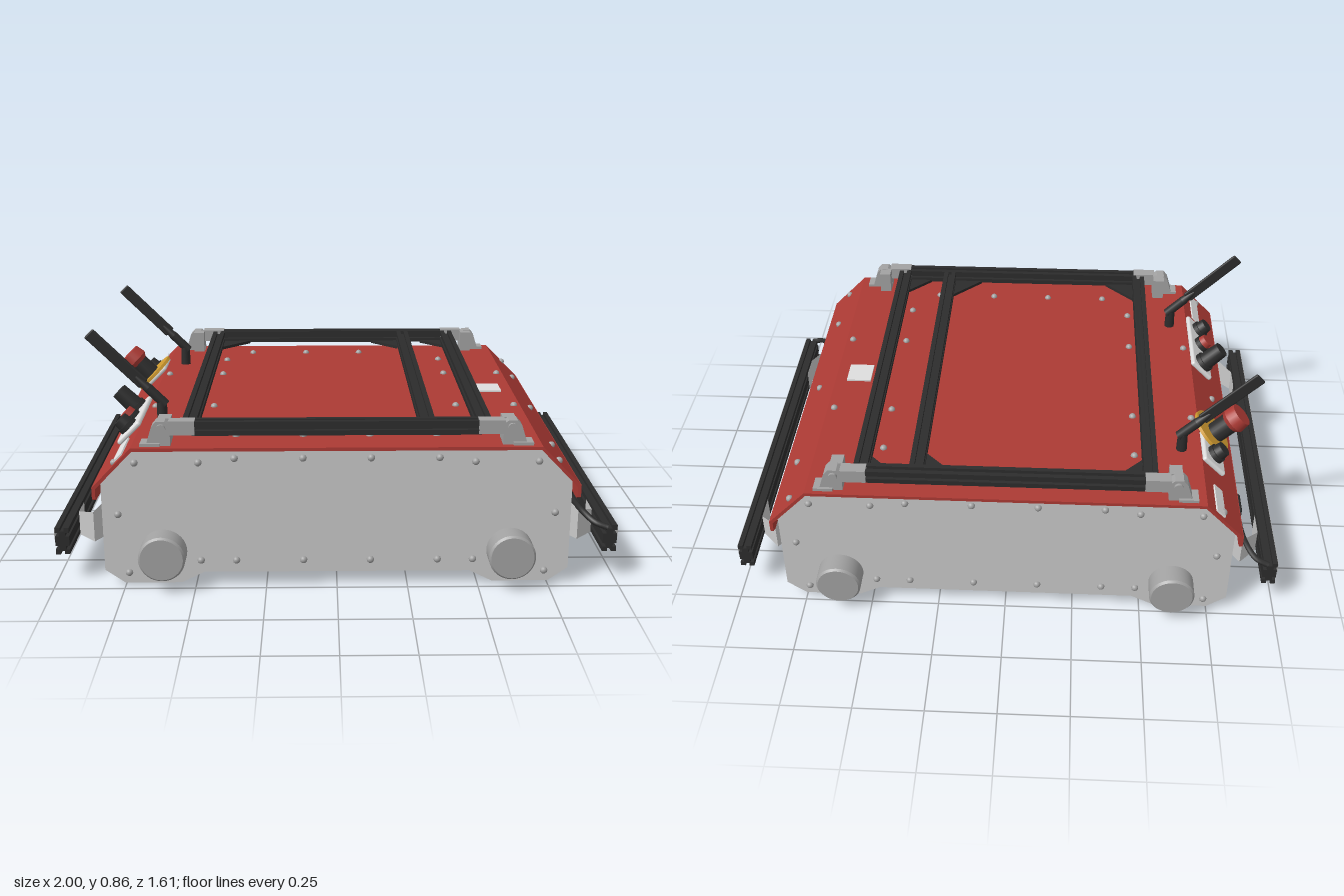
import * as THREE from 'three';
import { RoundedBoxGeometry } from 'three/addons/geometries/RoundedBoxGeometry.js';

const mat = (name, color, side = THREE.FrontSide) => {
  const m = new THREE.MeshStandardMaterial({ color, side });
  m.name = name;
  return m;
};

export function createModel() {
  const M = {
    red: mat('hood red', 0xac3a34),
    body: mat('light metal', 0xc9c9c9, THREE.DoubleSide),
    grey: mat('fitting grey', 0xa2a2a2),
    black: mat('rail black', 0x2c2c2c),
    yellow: mat('warning yellow', 0xcf9a30),
    white: mat('panel white', 0xdedede),
  };
  const model = new THREE.Group();
  model.name = 'mobileRobotBase';

  const add = (name, geo, m, p = [0, 0, 0], parent = model) => {
    const mesh = new THREE.Mesh(geo, m);
    mesh.name = name;
    mesh.position.set(...p);
    parent.add(mesh);
    return mesh;
  };
  const box = (name, s, p, m, parent) => add(name, new THREE.BoxGeometry(...s), m, p, parent);
  const cyl = (name, r0, r1, h, p, m, parent, n = 24) =>
    add(name, new THREE.CylinderGeometry(r1, r0, h, n), m, p, parent);
  const shape = pts => new THREE.Shape(pts.map(p => new THREE.Vector2(...p)));
  // extrusion centred on its depth
  const prism = (pts, depth) => new THREE.ExtrudeGeometry(shape(pts), { depth, bevelEnabled: false, curveSegments: 6 })
    .translate(0, 0, -depth / 2);
  const mirrored = pts => [...pts, ...pts.map(([x, y]) => [-x, y]).reverse()];

  // Body: side profile across the full depth
  add('body', prism(mirrored([
    [0.47, 0.05], [0.55, 0.01], [0.75, 0.01], [0.82, 0.06], [0.82, 0.39], [0.705, 0.506],
  ]), 1.45), M.body);

  // Hood: bent sheet over the top with pointed skirts
  add('hood', prism([
    ...[[0.85, 0.372], [0.71, 0.515], [-0.71, 0.515], [-0.85, 0.372]],
    ...[[-0.838, 0.366], [-0.706, 0.503], [0.706, 0.503], [0.838, 0.366]],
  ], 1.47), M.red);
  const skirt = [[-0.735, 0.374], [-0.735, 0.33], [-0.715, 0.32], [-0.34, 0.312], [0, 0.28],
    [0.34, 0.312], [0.715, 0.32], [0.735, 0.33], [0.735, 0.374]];
  for (const s of [-1, 1]) {
    const k = add('hoodSkirt', prism(skirt, 0.012), M.red, [s * 0.844, 0, 0]);
    k.rotation.y = Math.PI / 2;
  }

  // Wheels hubs
  for (const x of [-0.61, 0.61]) for (const s of [-1, 1]) {
    const w = new THREE.Group();
    w.name = 'wheelHub';
    w.position.set(x, 0.13, s * 0.72);
    w.rotation.x = s * Math.PI / 2;
    model.add(w);
    cyl('hubBody', 0.082, 0.082, 0.078, [0, 0.039, 0], M.grey, w, 36);
    cyl('hubRim', 0.082, 0.075, 0.008, [0, 0.082, 0], M.grey, w, 36);
  }

  // Slotted rail: square cells with a groove on every outer side
  const railGeo = (cols, rows, c, length) => {
    const pts = [];
    const W = cols * c / 2, H = rows * c / 2, g = c * 0.14, d = c * 0.26;
    const edge = (n, f) => {
      for (let i = 0; i < n; i++) {
        const m = (i + 0.5) * c;
        pts.push(f(i * c, 0), f(m - g, 0), f(m - g, d), f(m + g, d), f(m + g, 0));
      }
    };
    edge(cols, (t, e) => [-W + t, -H + e]);
    edge(rows, (t, e) => [W - e, -H + t]);
    edge(cols, (t, e) => [W - t, H - e]);
    edge(rows, (t, e) => [-W + e, H - t]);
    return prism(pts, length);
  };

  // Top frame
  for (const x of [-0.51, 0.315, 0.512]) add('frameRailLong', railGeo(1, 1, 0.05, 1.32), M.black, [x, 0.576, 0]);
  for (const s of [-1, 1]) {
    add('frameRailCross', railGeo(1, 1, 0.05, 1.0), M.black, [0, 0.576, s * 0.683]).rotation.y = Math.PI / 2;
  }
  const gusset = (x, z, dx, dz, a) => {
    const pts = [[0, 0], [dx * a, 0], [0, -dz * a]];
    if (dx * dz > 0) pts.reverse();
    add('frameGusset', prism(pts, 0.012), M.black, [x, 0.552, z]).rotation.x = -Math.PI / 2;
  };
  for (const s of [-1, 1]) {
    gusset(-0.485, s * 0.66, 1, -s, 0.115);
    gusset(0.29, s * 0.66, -1, -s, 0.115);
    gusset(0.487, s * 0.66, -1, -s, 0.09);
  }

  // Corner brackets carrying the frame
  for (const sx of [-1, 1]) for (const sz of [-1, 1]) {
    const b = new THREE.Group();
    b.name = 'cornerBracket';
    model.add(b);
    const foot = [[0.575, 0.515], [0.66, 0.515], [0.638, 0.585], [0.622, 0.603], [0.592, 0.603], [0.575, 0.59]]
      .map(([x, y]) => [sx * x, y]);
    add('bracketFoot', prism(foot, 0.05), M.grey, [0, 0, sz * 0.685], b);
    box('bracketArm', [0.09, 0.05, 0.045], [sx * 0.535, 0.579, sz * 0.69], M.grey, b);
    box('bracketTail', [0.045, 0.085, 0.05], [sx * 0.598, 0.56, sz * 0.645], M.grey, b);
    box('bracketFlange', [0.07, 0.012, 0.06], [sx * 0.645, 0.52, sz * 0.69], M.grey, b);
    cyl('bracketPin', 0.016, 0.016, 0.012, [sx * 0.605, 0.578, sz * 0.714], M.grey, b).rotation.x = Math.PI / 2;
  }

  // Side bumpers on bent sheet mounts
  const ribbon = (path) => {
    const v = [], idx = [];
    path.forEach(([x, z, y0, y1], i) => {
      v.push(x, y0, z, x, y1, z);
      if (i) idx.push(2 * i - 2, 2 * i, 2 * i - 1, 2 * i, 2 * i + 1, 2 * i - 1);
    });
    const g = new THREE.BufferGeometry();
    g.setAttribute('position', new THREE.Float32BufferAttribute(v, 3));
    g.setIndex(idx);
    const flat = g.toNonIndexed();
    flat.computeVertexNormals();
    return flat;
  };
  for (const s of [-1, 1]) {
    add('bumperRail', railGeo(1, 2, 0.05, 1.38), M.black, [s * 0.973, 0.155, 0]);
    box('bumperStrip', [0.004, 0.04, 1.37], [s * 0.999, 0.18, 0], M.grey);
    for (const z of [-1, 1]) add('bumperMount', ribbon([
      [s * 0.823, z * 0.42, 0.12, 0.265], [s * 0.823, z * 0.52, 0.12, 0.265], [s * 0.878, z * 0.588, 0.11, 0.225],
      [s * 0.943, z * 0.52, 0.11, 0.2], [s * 0.943, z * 0.42, 0.11, 0.2],
    ]), M.body);
    // bumper cable and plug
    box('cableBase', [0.05, 0.05, 0.04], [s * 0.845, 0.235, s * 0.41], M.black);
    add('cablePlug', new RoundedBoxGeometry(0.042, 0.046, 0.1, 2, 0.012), M.black, [s * 0.866, 0.235, s * 0.41]);
    const curve = new THREE.CatmullRomCurve3([[0.87, 0.235, 0.45], [0.872, 0.238, 0.54], [0.888, 0.23, 0.62],
      [0.92, 0.21, 0.67], [0.965, 0.195, 0.686]].map(([x, y, z]) => new THREE.Vector3(s * x, y, s * z)));
    add('bumperCable', new THREE.TubeGeometry(curve, 24, 0.011, 8), M.black);
  }

  // Control panel on the right slope: local y points out of the slope
  const panel = new THREE.Group();
  panel.name = 'controlPanel';
  panel.position.set(-0.78, 0.4435, 0);
  panel.rotation.z = Math.PI / 4;
  model.add(panel);
  const plate = (z, len) => add('controlPlate', new RoundedBoxGeometry(0.115, 0.02, len, 3, 0.009), M.white, [0.045, 0.01, z], panel);
  plate(0.295, 0.35);
  plate(-0.4, 0.17);
  const knob = (name, z, r, h, m) => {
    cyl(name + 'Collar', r * 1.15, r * 1.15, 0.02, [0.045, 0.028, z], M.black, panel);
    cyl(name, r, r * 0.88, h, [0.045, 0.03 + h / 2, z], m, panel);
  };
  knob('rotaryKnob', 0.17, 0.036, 0.09, M.black);
  knob('pushButton', 0.3, 0.03, 0.03, M.red);
  knob('frontSocket', 0.41, 0.032, 0.035, M.black);
  knob('rearSocket', -0.42, 0.032, 0.035, M.black);
  for (const [z, len] of [[-0.65, 0.14], [0.61, 0.18]]) box('label', [0.045, 0.006, len], [0.03, 0.004, z], M.white, panel);

  // Emergency stop
  cyl('stopDisc', 0.09, 0.09, 0.012, [0.06, 0.03, -0.3], M.yellow, panel, 32);
  cyl('stopBody', 0.04, 0.04, 0.09, [0.045, 0.07, -0.3], M.black, panel);
  cyl('stopNeck', 0.035, 0.052, 0.025, [0.045, 0.11, -0.3], M.red, panel);
  cyl('stopHead', 0.052, 0.046, 0.04, [0.045, 0.142, -0.3], M.red, panel);

  // Antennas
  for (const z of [-0.42, 0.41]) {
    cyl('antennaBase', 0.02, 0.018, 0.075, [-0.637, 0.55, z], M.black, model, 16);
    const a = new THREE.Group();
    a.name = 'antenna';
    a.position.set(-0.63, 0.583, z);
    a.rotation.z = Math.PI / 4;
    model.add(a);
    cyl('antennaJoint', 0.018, 0.018, 0.09, [0, 0.035, 0], M.black, a, 16);
    cyl('antennaTaper', 0.018, 0.008, 0.06, [0, 0.11, 0], M.black, a, 16);
    add('antennaBlade', new RoundedBoxGeometry(0.046, 0.27, 0.012, 3, 0.006), M.black, [0, 0.235, 0], a);
  }

  // Top label plate
  box('topLabel', [0.095, 0.006, 0.105], [0.617, 0.518, -0.003], M.white);

  // Bolts
  const boltGeo = new THREE.SphereGeometry(0.0135, 10, 5, 0, Math.PI * 2, 0, Math.PI / 2);
  const up = new THREE.Vector3(0, 1, 0);
  const bolt = (p, n) => add('bolt', boltGeo, M.grey, p).quaternion.setFromUnitVectors(up, new THREE.Vector3(...n).normalize());
  const faceBolts = [[0.118, 0.475], [0.355, 0.475], [0.48, 0.46], [0.7, 0.46], [0.765, 0.27], [0.735, 0.05],
    [0.118, 0.095], [0.355, 0.095], [0.48, 0.095]];
  for (const sx of [-1, 1]) for (const sz of [-1, 1]) {
    for (const [x, y] of faceBolts) bolt([sx * x, y, sz * 0.725], [0, 0, sz]);
    for (const x of [0.118, 0.355]) bolt([sx * x, 0.515, sz * 0.6], [0, 1, 0]);
    for (const z of [0.235, 0.47]) bolt([sx * 0.462, 0.515, sz * z], [0, 1, 0]);
    bolt([sx * 0.685, 0.515, sz * 0.235], [0, 1, 0]);
    bolt([sx * 0.775, 0.449, sz * 0.69], [sx, 1, 0]);
    if (sx > 0) bolt([0.79, 0.433, sz * 0.47], [1, 1, 0]);
    bolt([sx * 0.65, 0.012, sz * 0.685], [0, -1, 0]);
  }
  for (const s of [-1, 1]) bolt([s * 0.79, 0.433, 0], [s, 1, 0]);

  return model;
}
